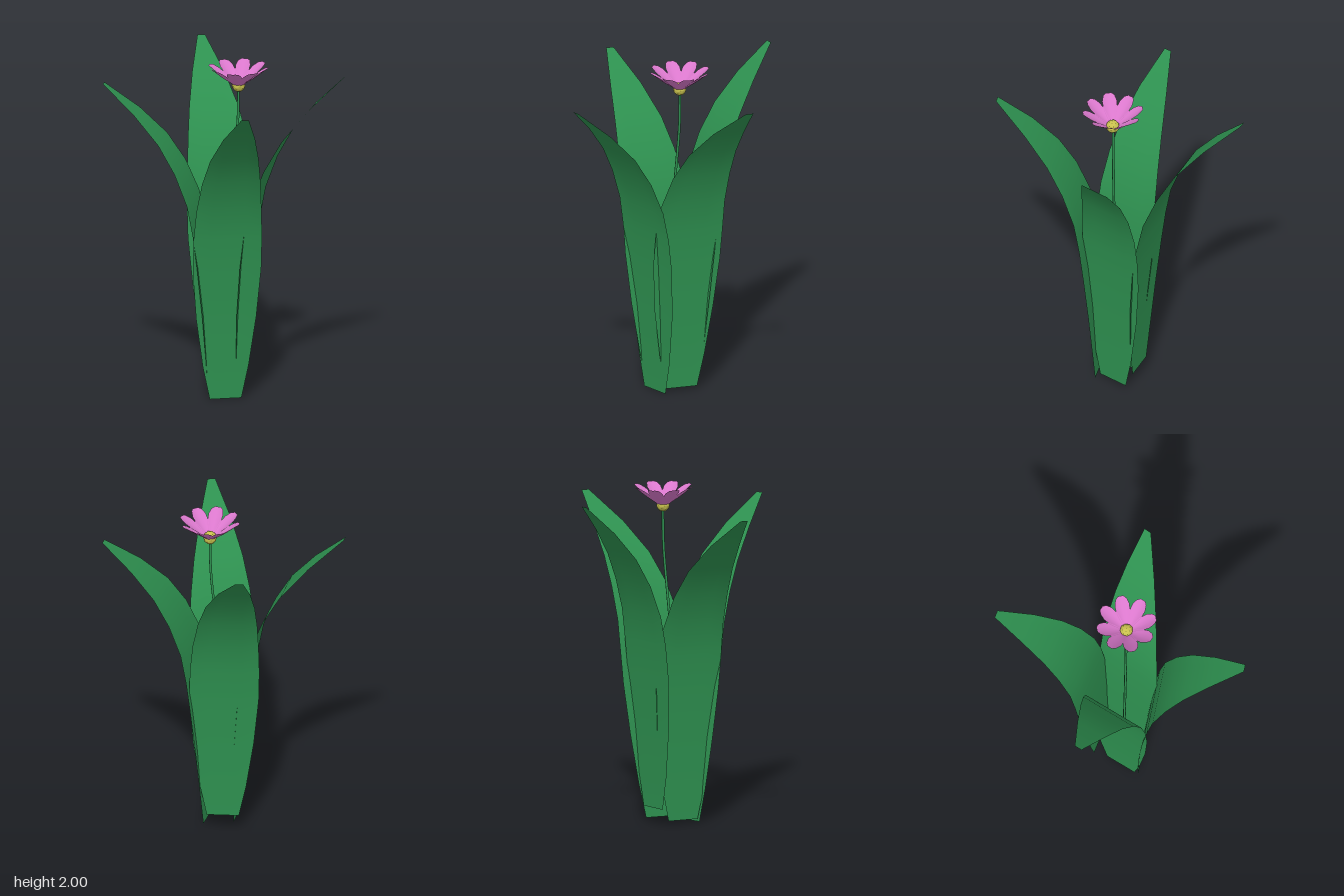
import * as THREE from 'three';

const V = (x, y, z) => new THREE.Vector3(x, y, z);
const mat = (color, flatShading = false) =>
  new THREE.MeshStandardMaterial({ color, flatShading, side: THREE.DoubleSide });

// Thin smooth surface through equal-length rows of points
function sheet(rows) {
  const n = rows[0].length, index = [];
  for (let i = 0; i < rows.length - 1; i++) {
    for (let j = 0; j < n - 1; j++) {
      const a = i * n + j, b = a + n;
      index.push(a, a + 1, b, a + 1, b + 1, b);
    }
  }
  const geo = new THREE.BufferGeometry().setFromPoints(rows.flat());
  geo.setIndex(index);
  geo.computeVertexNormals();
  return geo;
}

// Shared leaf profile: [outward distance, height, half width]
const PROFILE = [
  [0.13, 0, 0.095], [0.135, 0.2, 0.137], [0.15, 0.5, 0.18], [0.175, 0.8, 0.205],
  [0.2, 1.0, 0.205], [0.235, 1.18, 0.195], [0.31, 1.37, 0.175], [0.41, 1.54, 0.145],
  [0.56, 1.71, 0.095], [0.75, 1.88, 0.023],
];

// dir: outward axis, twist: turn of the blade about the upright axis,
// base/tip: sideways position of the spine at the foot and at the tip
function leafGeometry({ dir, twist, dr, dy, base, tip }) {
  const out = V(dir[0], 0, dir[1]);
  const across = V(Math.abs(dir[1]), 0, Math.abs(dir[0]));
  const side = across.clone().applyAxisAngle(V(0, 1, 0), twist);
  return sheet(PROFILE.map(([r, y, w]) => {
    const k = (r - 0.13) / 0.62;
    const mid = out.clone().multiplyScalar(r + dr)
      .addScaledVector(across, base + (tip - base) * k);
    mid.y = y + dy;
    return [-1, -0.5, 0, 0.5, 1].map(s => mid.clone().addScaledVector(side, s * w));
  }));
}

export function createModel() {
  const group = new THREE.Group();
  const green = mat(0x2e9150), pink = mat(0xda78cc), yellow = mat(0xc9c24e, true);
  const add = (parent, name, geo, m) => {
    const mesh = new THREE.Mesh(geo, m);
    mesh.name = name;
    parent.add(mesh);
    return mesh;
  };

  // Four arching leaves
  const leaves = {
    frontLeaf: { dir: [0, 1], twist: 0, dr: 0, dy: 0, base: -0.023, tip: -0.022 },
    leftLeaf: { dir: [1, 0], twist: -0.42, dr: -0.043, dy: 0.02, base: 0.017, tip: 0.026 },
    rightLeaf: { dir: [-1, 0], twist: -0.37, dr: -0.042, dy: 0.02, base: 0.02, tip: -0.115 },
    backLeaf: { dir: [0, -1], twist: -0.19, dr: -0.005, dy: 0.1, base: 0.017, tip: -0.005 },
  };
  for (const [name, spec] of Object.entries(leaves)) add(group, name, leafGeometry(spec), green);

  // Slender curved stem
  const stemPath = new THREE.CatmullRomCurve3([
    V(-0.06, 0.03, 0.03), V(-0.03, 0.7, 0.03), V(0.035, 1.3, 0.025), V(0.07, 1.65, 0.02), V(0.075, 1.87, 0.02),
  ]);
  add(group, 'stem', new THREE.TubeGeometry(stemPath, 20, 0.008, 6), green);

  // Flower: eight cupped petals around a faceted centre
  const flower = new THREE.Group();
  flower.name = 'flower';
  flower.position.set(0.075, 1.885, 0.022);
  group.add(flower);
  add(flower, 'flowerCentre', new THREE.IcosahedronGeometry(0.04, 1), yellow);

  // Petal rows: [outward, height, half width, edge lift]
  const petal = sheet([
    [0.015, -0.01, 0.01, 0.003], [0.05, 0.018, 0.026, 0.01], [0.09, 0.045, 0.041, 0.016],
    [0.13, 0.075, 0.044, 0.015], [0.16, 0.1, 0.034, 0.009], [0.178, 0.113, 0.016, 0.002],
  ].map(([r, y, w, lift]) => [-1, -0.5, 0, 0.5, 1].map(s => V(r, y + lift * s * s, s * w))));
  for (let i = 0; i < 8; i++) {
    add(flower, 'petal', petal, pink).rotation.y = (i + 0.5) * Math.PI / 4;
  }
  return group;
}
